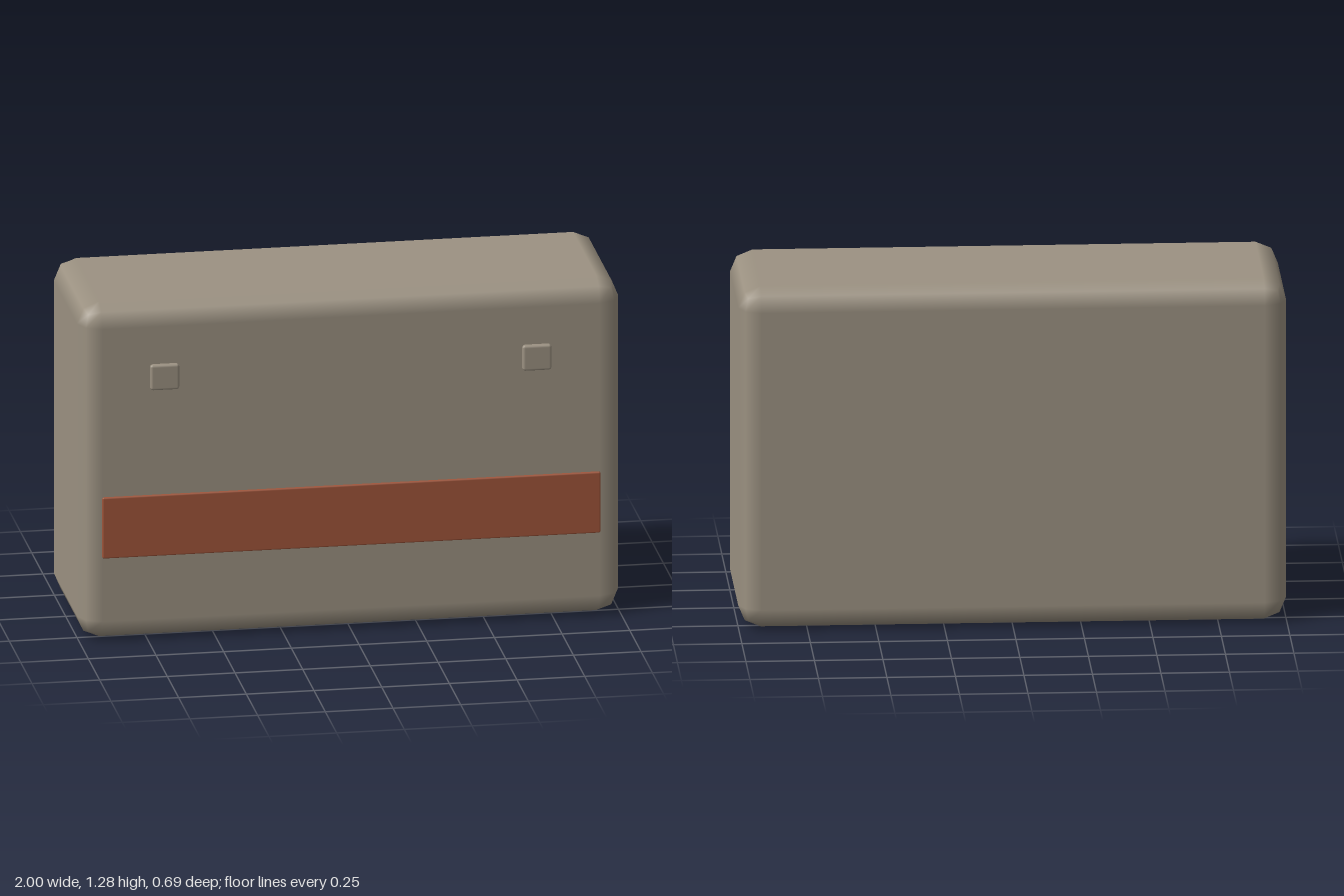
import * as THREE from 'three';
import { RoundedBoxGeometry } from 'three/addons/geometries/RoundedBoxGeometry.js';

export function createModel() {
  const group = new THREE.Group();
  const casing = new THREE.MeshStandardMaterial({ name: 'warmGrey', color: 0x9c9282 });
  const rust = new THREE.MeshStandardMaterial({ name: 'rustRed', color: 0xa0553a });

  // Rounded block spanning the given size around a centre
  function block(name, material, size, centre, radius) {
    const mesh = new THREE.Mesh(new RoundedBoxGeometry(...size, 1, radius), material);
    mesh.name = name;
    mesh.position.set(...centre);
    group.add(mesh);
  }

  // Main case with softly bevelled edges
  block('body', casing, [2, 1.285, 0.673], [0, 0.6425, -0.0085], 0.082);

  // Wide band across the front
  block('frontBand', rust, [1.84, 0.234, 0.03], [0, 0.442, 0.322], 0.006);

  // Two small square studs near the top corners
  for (const [name, x] of [['rightStud', -0.69], ['leftStud', 0.685]]) {
    block(name, casing, [0.107, 0.098, 0.04], [x, 1.011, 0.325], 0.01);
  }

  return group;
}
